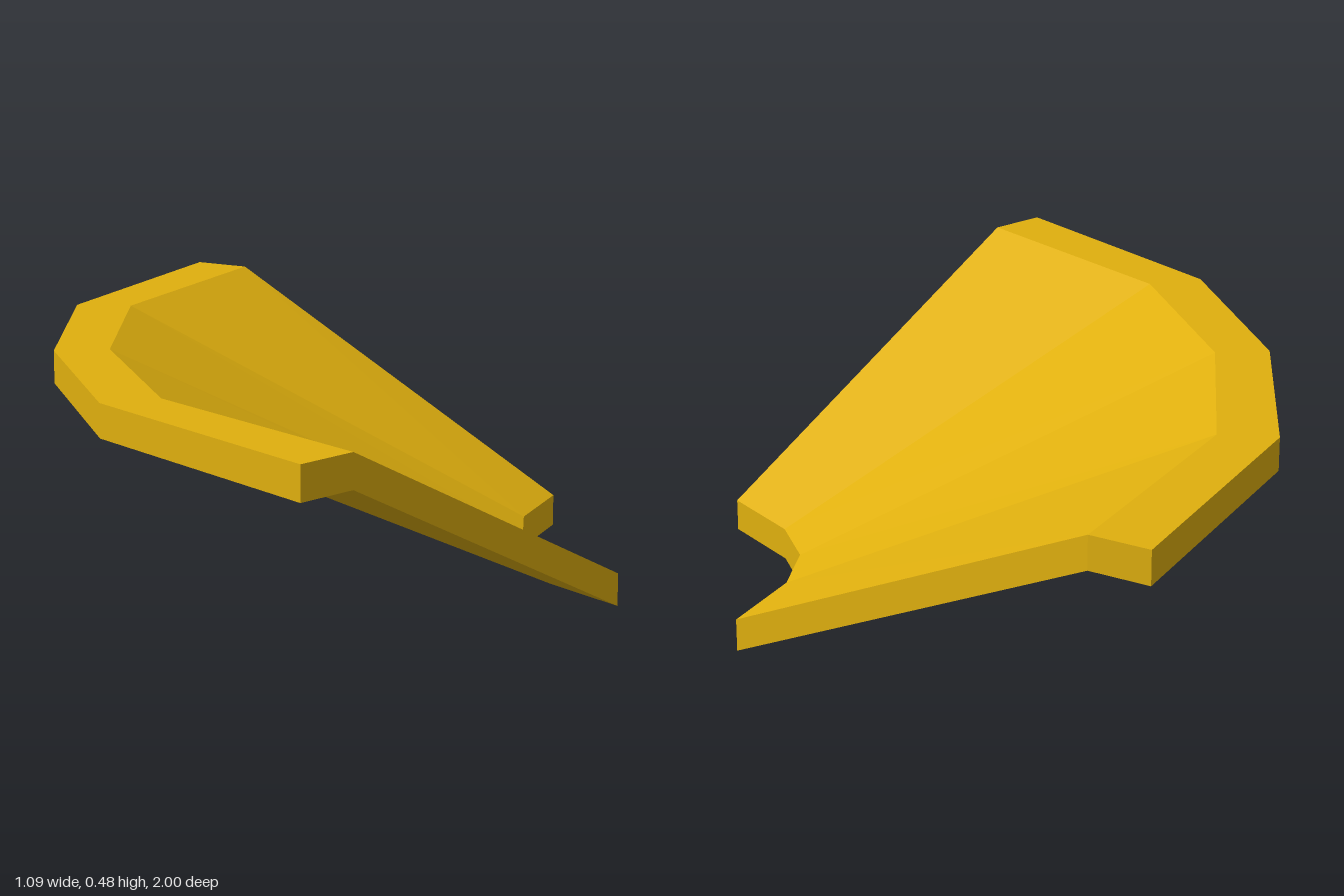
import * as THREE from 'three';

export function createModel() {
  const group = new THREE.Group();
  const gold = new THREE.MeshStandardMaterial({ color: 0xe0b00e });
  gold.name = 'gold';

  const rimY = 0.415, thickness = 0.067;

  // Each section runs [x, z] from the outer rim, over the inner rim, to the low edge
  const half = [
    [[-0.17, 1.0], [-0.07, 0.925], [0.545, 0.31]],
    [[-0.48, 0.49], [-0.365, 0.465], [0.445, 0.14]],
    [[-0.547, 0], [-0.435, 0], [0.415, 0]],
  ];
  const mirrored = half.map(s => s.map(([x, z]) => [x, -z]));
  const sections = [...mirrored, half[1], half[0]];

  // Closed loop of six corners: upper surface outwards-in, then underside back
  const loops = sections.map(s => {
    const under = s.map(([x, z], i) => [x, i < 2 ? rimY : 0, z]);
    const upper = under.map(([x, y, z]) => [x, y + thickness, z]);
    return [...upper, ...under.reverse()];
  });

  const positions = [];
  const quad = (a, b, c, d) => positions.push(...a, ...b, ...c, ...a, ...c, ...d);

  // Skin between neighbouring sections
  for (let i = 0; i < loops.length - 1; i++) {
    const p = loops[i], q = loops[i + 1];
    for (let j = 0; j < 6; j++) {
      const k = (j + 1) % 6;
      quad(p[j], q[j], q[k], p[k]);
    }
  }

  // Cut ends, each bent at the inner rim
  const first = loops[0], last = loops[loops.length - 1];
  for (const [a, b, c, d] of [[0, 1, 4, 5], [1, 2, 3, 4]]) {
    quad(first[a], first[b], first[c], first[d]);
    quad(last[d], last[c], last[b], last[a]);
  }

  const geometry = new THREE.BufferGeometry();
  geometry.setAttribute('position', new THREE.Float32BufferAttribute(positions, 3));
  geometry.computeVertexNormals();

  const dish = new THREE.Mesh(geometry, gold);
  dish.name = 'flaredDishSegment';
  group.add(dish);
  group.name = 'dishSegment';
  return group;
}
